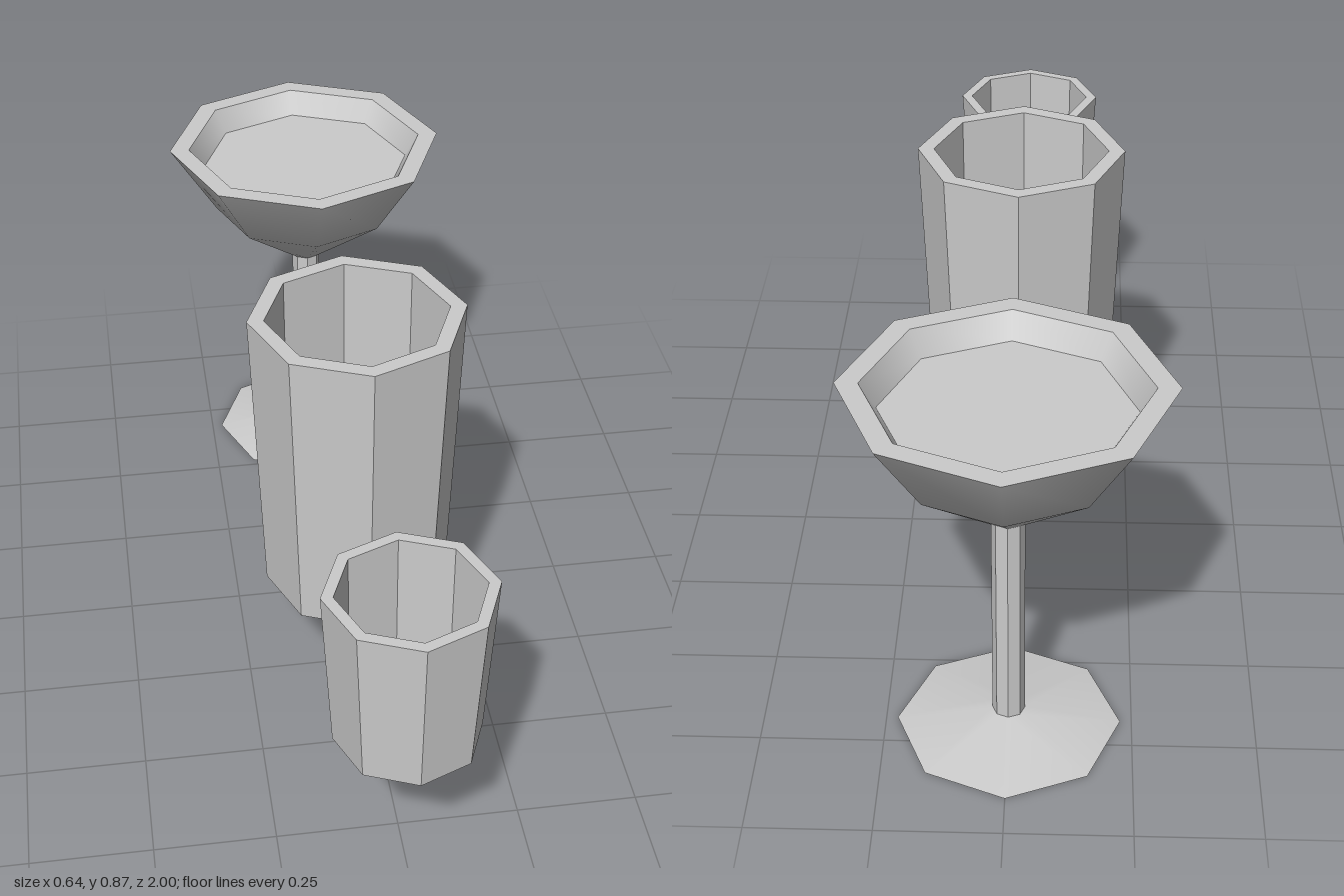
import * as THREE from 'three';

const SIDES = 8;

// Turned eight-sided part; the profile is a list of [radius, height] running up the outside
function turned(name, profile, flatShading) {
  const points = profile.map(([r, y]) => new THREE.Vector2(r, y));
  const material = new THREE.MeshStandardMaterial({ color: 0xcccccc, flatShading });
  const mesh = new THREE.Mesh(new THREE.LatheGeometry(points, SIDES), material);
  mesh.name = name;
  return mesh;
}

// Straight glass with a thick wall and a flat floor
function tumbler(name, { base, top, bottomR, topR, innerTopR, innerBottomR, floor }) {
  return turned(name, [
    [0, base], [bottomR, base], [topR, top],
    [innerTopR, top], [innerBottomR, base + floor], [0, base + floor],
  ], true);
}

// Stemmed glass: smooth bowl and foot, faceted stem
function stemmedGlass() {
  const glass = new THREE.Group();
  glass.name = 'stemmedGlass';
  glass.add(
    turned('footUnderside', [[0, 0], [0.227, 0]], true),
    turned('foot', [[0.227, 0], [0.033, 0.035]], false),
    turned('stem', [[0.033, 0.035], [0.033, 0.508]], true),
    turned('bowlOutside', [[0.033, 0.508], [0.215, 0.648], [0.32, 0.81]], false),
    turned('bowlRim', [[0.32, 0.81], [0.275, 0.81]], true),
    turned('bowlInside', [[0.275, 0.81], [0.244, 0.757]], false),
    turned('bowlFloor', [[0.244, 0.757], [0, 0.757]], true),
  );
  return glass;
}

export function createModel() {
  const model = new THREE.Group();
  model.name = 'glassSet';

  const small = tumbler('smallTumbler', {
    base: 0.348, top: 0.702, bottomR: 0.146, topR: 0.167,
    innerTopR: 0.143, innerBottomR: 0.139, floor: 0.02,
  });
  small.position.z = 0.833;

  const tall = tumbler('tallTumbler', {
    base: 0.203, top: 0.873, bottomR: 0.2, topR: 0.226,
    innerTopR: 0.191, innerBottomR: 0.187, floor: 0.03,
  });
  tall.position.z = 0.174;

  const stemmed = stemmedGlass();
  stemmed.position.z = -0.68;

  model.add(small, tall, stemmed);
  return model;
}
